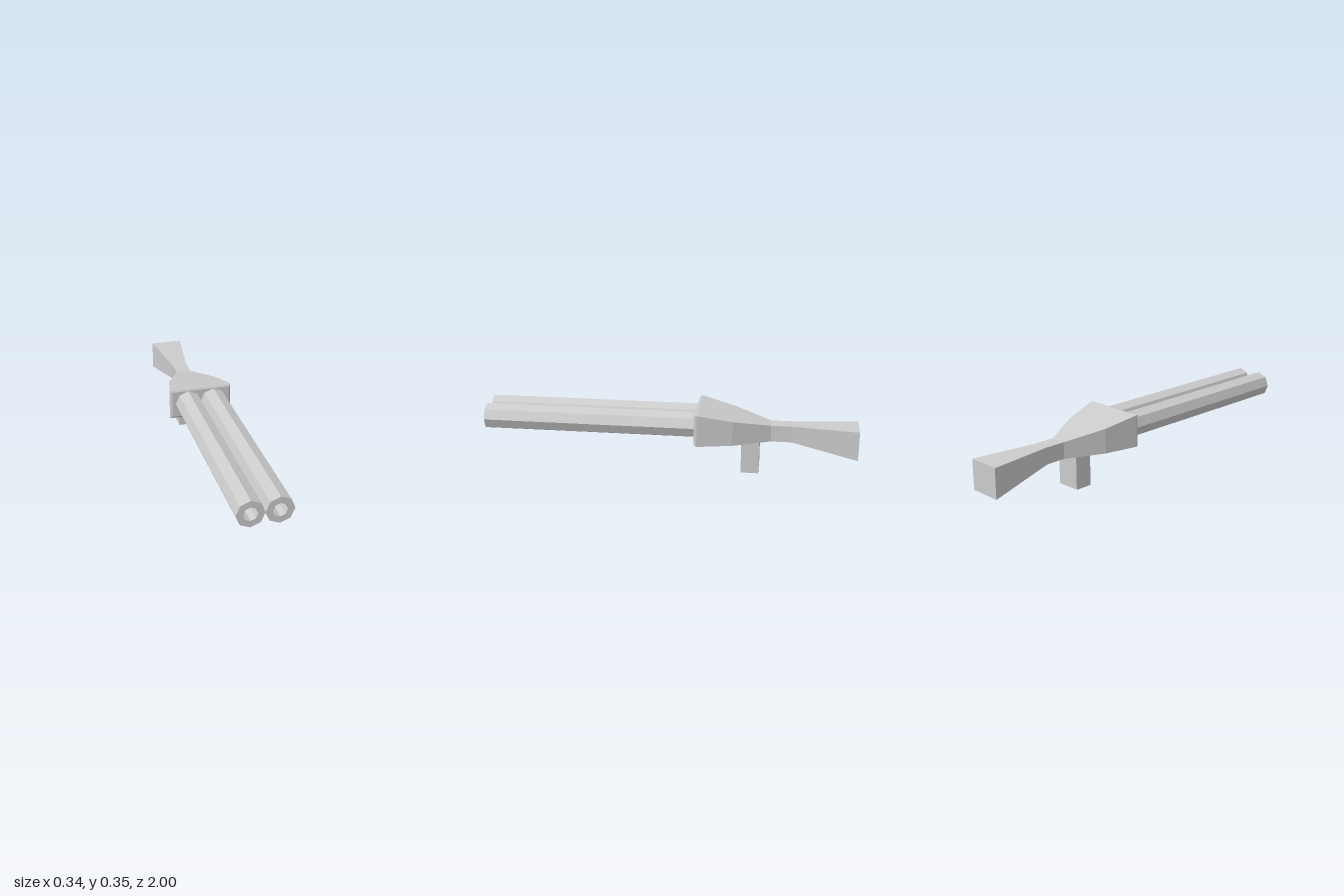
import * as THREE from 'three';

const material = new THREE.MeshStandardMaterial({ color: 0xcccccc, flatShading: true });

function addMesh(parent, name, geometry) {
  const mesh = new THREE.Mesh(geometry, material);
  mesh.name = name;
  parent.add(mesh);
  return mesh;
}

// Rectangular sections [z, halfWidth, bottom, top], front to back, joined and capped
function loft(sections) {
  const rings = sections.map(([z, w, b, t]) => [[w, b, z], [w, t, z], [-w, t, z], [-w, b, z]]);
  const positions = [];
  const quad = (a, b, c, d) => positions.push(...a, ...b, ...c, ...a, ...c, ...d);
  quad(...rings[0]);
  for (let i = 0; i < rings.length - 1; i++) {
    const f = rings[i], k = rings[i + 1];
    for (let j = 0; j < 4; j++) {
      const n = (j + 1) % 4;
      quad(f[j], k[j], k[n], f[n]);
    }
  }
  quad(...rings[rings.length - 1].slice().reverse());
  const geometry = new THREE.BufferGeometry();
  geometry.setAttribute('position', new THREE.Float32BufferAttribute(positions, 3));
  geometry.computeVertexNormals();
  return geometry;
}

function octagon(radius) {
  return Array.from({ length: 8 }, (_, i) => {
    const a = (i * Math.PI) / 4;
    return new THREE.Vector2(Math.cos(a) * radius, Math.sin(a) * radius);
  });
}

export function createModel() {
  const model = new THREE.Group();
  model.name = 'doubleBarrelGun';

  // Receiver with bevelled front edge, narrowing to the wrist and flaring into the stock
  addMesh(model, 'receiverAndStock', loft([
    [-0.14, 0.16, 0.19, 0.338],
    [-0.147, 0.17, 0.18, 0.349],
    [-0.155, 0.172, 0.178, 0.35],
    [-0.34, 0.132, 0.178, 0.31],
    [-0.54, 0.042, 0.178, 0.267],
    [-0.65, 0.042, 0.178, 0.267],
    [-1, 0.088, 0.108, 0.267],
  ]));

  // Hollow octagonal barrels, side by side
  const profile = new THREE.Shape(octagon(0.0705));
  profile.holes.push(new THREE.Path(octagon(0.036)));
  const barrel = new THREE.ExtrudeGeometry(profile, { depth: 1.145, bevelEnabled: false });
  for (const [name, side] of [['leftBarrel', 1], ['rightBarrel', -1]]) {
    addMesh(model, name, barrel).position.set(side * 0.0705, 0.266, -0.145);
  }

  // Grip block under the receiver
  addMesh(model, 'grip', new THREE.BoxGeometry(0.131, 0.19, 0.095)).position.set(0, 0.095, -0.433);

  return model;
}
